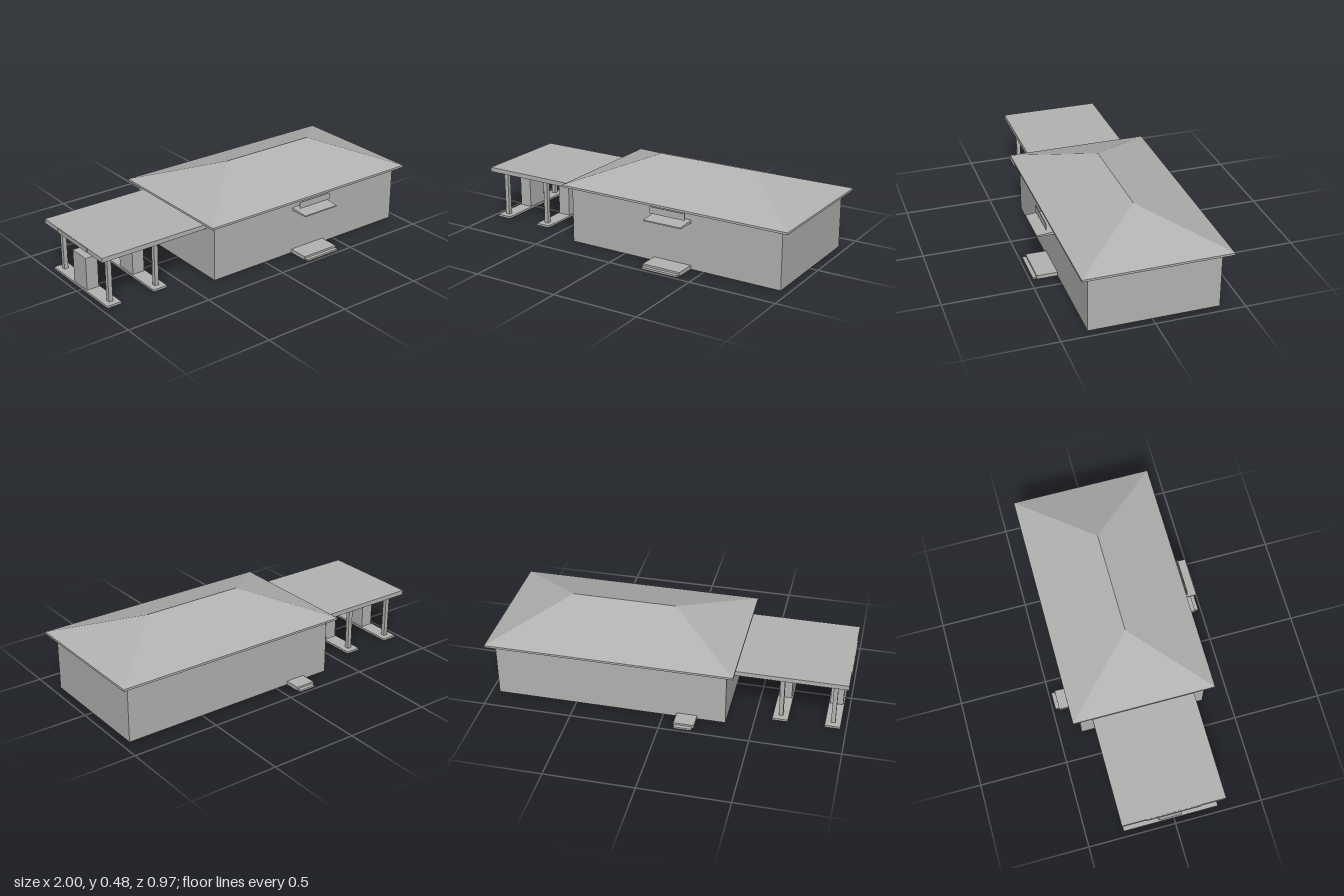
import * as THREE from 'three';

const grey = new THREE.MeshStandardMaterial({ color: 0xb2b2b0, side: THREE.DoubleSide });
grey.name = 'plain grey';

// Box side indices, in the order BoxGeometry builds them
const PX = 0, NZ = 5;

// Box given by its limits on each axis, optionally with one side left open
function boxGeometry([x0, x1], [y0, y1], [z0, z1], openSide = -1) {
  const geo = new THREE.BoxGeometry(x1 - x0, y1 - y0, z1 - z0);
  geo.translate((x0 + x1) / 2, (y0 + y1) / 2, (z0 + z1) / 2);
  if (openSide >= 0) {
    geo.setIndex([...geo.index.array].filter((_, i) => Math.floor(i / 6) !== openSide));
    geo.clearGroups();
  }
  return geo;
}

function add(parent, name, geo) {
  const mesh = new THREE.Mesh(geo, grey);
  mesh.name = name;
  parent.add(mesh);
  return mesh;
}

const box = (parent, name, x, y, z, openSide) => add(parent, name, boxGeometry(x, y, z, openSide));

// Flat wall from u0 to u1, with an optional rectangular opening
function wallGeometry([u0, u1], height, hole) {
  const rect = (path, a, b, c, d) => path.moveTo(a, c).lineTo(b, c).lineTo(b, d).lineTo(a, d).closePath();
  const shape = rect(new THREE.Shape(), u0, u1, 0, height);
  if (hole) shape.holes.push(rect(new THREE.Path(), ...hole));
  return new THREE.ShapeGeometry(shape);
}

// Hip roof: a box whose top corners are pulled in to a ridge line
function hipRoofGeometry(x, y, z, ridgeX, ridgeZ) {
  const geo = boxGeometry(x, y, z, 3).toNonIndexed();
  const pos = geo.attributes.position;
  const midX = (x[0] + x[1]) / 2;
  for (let i = 0; i < pos.count; i++) {
    if (pos.getY(i) > (y[0] + y[1]) / 2) {
      pos.setX(i, pos.getX(i) < midX ? ridgeX[0] : ridgeX[1]);
      pos.setZ(i, ridgeZ);
    }
  }
  geo.computeVertexNormals();
  return geo;
}

// Awning: a slab whose top slopes down toward the front
function awningGeometry() {
  const geo = boxGeometry([0.19, 0.42], [0.263, 0.28], [0.347, 0.457], NZ).toNonIndexed();
  const pos = geo.attributes.position;
  for (let i = 0; i < pos.count; i++) {
    if (pos.getY(i) > 0.27 && pos.getZ(i) > 0.4) pos.setY(i, 0.27);
  }
  geo.computeVertexNormals();
  return geo;
}

export function createModel() {
  const model = new THREE.Group();
  model.name = 'fillingStation';

  // Main building: hollow walls without a floor
  const X = [-0.348, 0.953], Z = [-0.373, 0.347], H = 0.328;
  const building = new THREE.Group();
  building.name = 'building';
  model.add(building);
  add(building, 'frontWall', wallGeometry(X, H, [0.19, 0.42, 0.263, 0.28])).position.z = Z[1];
  add(building, 'backWall', wallGeometry([-X[1], -X[0]], H).rotateY(Math.PI)).position.z = Z[0];
  add(building, 'leftWall', wallGeometry([-Z[1], -Z[0]], H).rotateY(Math.PI / 2)).position.x = X[1];
  add(building, 'rightWall', wallGeometry(Z, H, [-0.308, 0.272, 0.28, 0.306]).rotateY(-Math.PI / 2)).position.x = X[0];

  // Eaves and hip roof
  const roofX = [-0.39, 1], roofZ = [-0.419, 0.39];
  box(building, 'eaves', roofX, [H, 0.34], roofZ);
  add(building, 'hipRoof', hipRoofGeometry(roofX, [0.34, 0.484], roofZ, [0.01, 0.6], -0.015));

  // Entrance awning and sign board above it
  add(building, 'awning', awningGeometry());
  box(building, 'signBoard', [0.197, 0.412], [0.292, 0.33], [0.4, 0.404]);

  // Front and back doorsteps, each with two levels
  box(building, 'frontStep', [0.19, 0.42], [0, 0.022], [0.347, 0.463]);
  box(building, 'frontLowerStep', [0.195, 0.415], [0, 0.011], [0.463, 0.484]);
  box(building, 'backStep', [-0.19, -0.075], [0, 0.022], [-0.463, -0.373]);
  box(building, 'backLowerStep', [-0.18, -0.08], [0, 0.011], [-0.484, -0.463]);

  // Canopy over the forecourt
  const canopy = new THREE.Group();
  canopy.name = 'canopy';
  model.add(canopy);
  box(canopy, 'canopyRoof', [-0.996, X[0]], [0.28, 0.306], [-0.308, 0.272], PX);
  box(canopy, 'canopyEndPanel', [-1, -0.996], [0.282, 0.304], [-0.17, 0.13]);

  // Pump islands, each with two posts and a pump
  const midZ = -0.018;
  for (const x of [-0.925, -0.637]) {
    const island = new THREE.Group();
    island.name = 'pumpIsland';
    island.position.set(x, 0, midZ);
    model.add(island);
    box(island, 'islandBase', [-0.043, 0.043], [0, 0.012], [-0.273, 0.273]);
    box(island, 'pump', [-0.036, 0.036], [0.012, 0.2], [-0.068, 0.062]);
    for (const z of [-0.227, 0.227]) {
      box(island, 'canopyPost', [-0.012, 0.012], [0.012, 0.28], [z - 0.012, z + 0.012]);
    }
  }
  return model;
}
